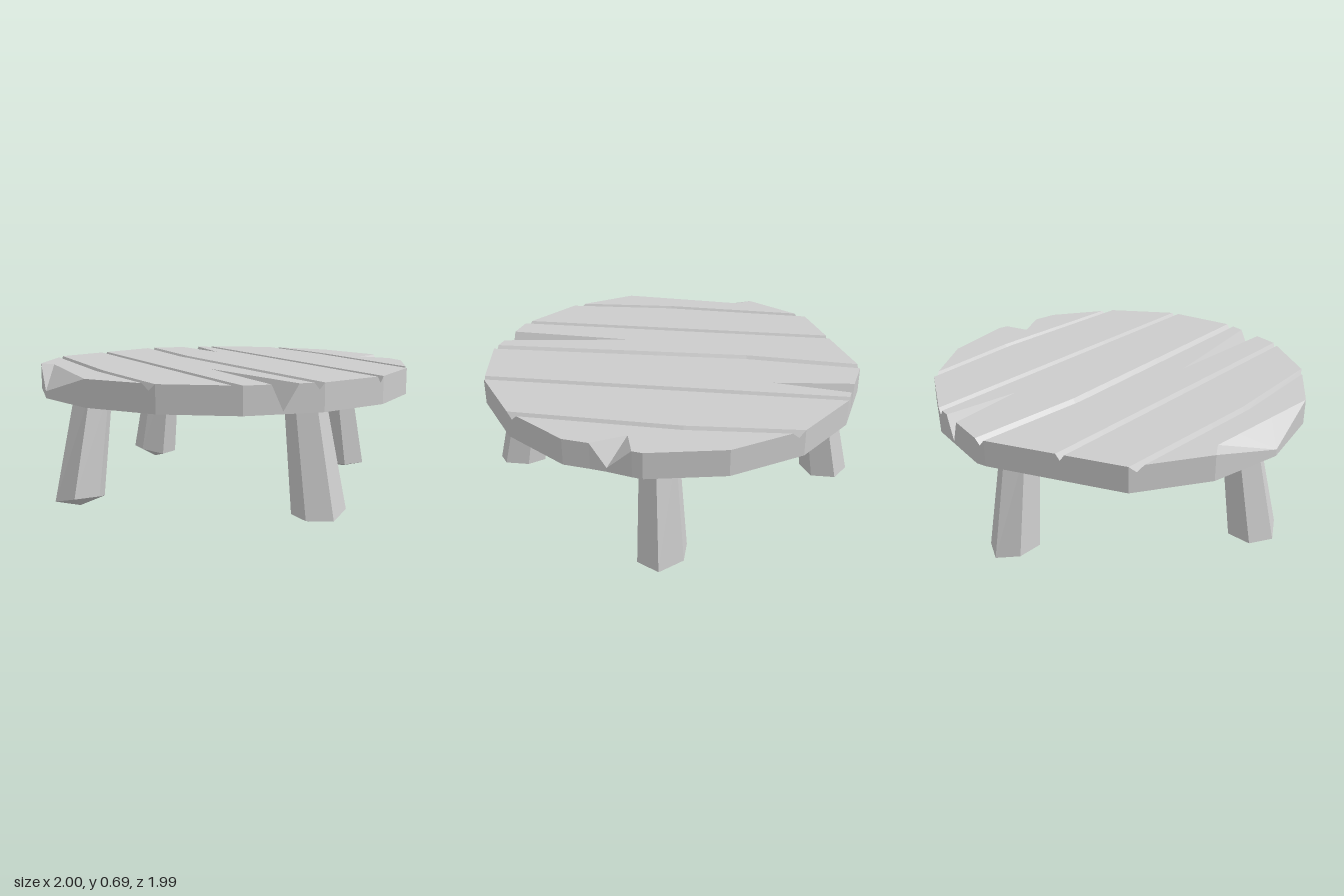
import * as THREE from 'three';

const TOP = 0.69, BOTTOM = 0.555;
const material = new THREE.MeshStandardMaterial({ color: 0xcccccc, flatShading: true });

// Rim of the table top as [x, z]
const FRONT = [[-0.92, 0.38], [-0.7, 0.7], [-0.38, 0.92], [0, 0.99], [0.38, 0.92], [0.7, 0.7], [0.92, 0.38]];
const BACK = [[-0.92, -0.38], [-0.7, -0.72], [-0.05, -0.99], [0, -1], [0.38, -0.92], [0.7, -0.71], [0.92, -0.38]];

// Linear interpolation in a list of [key, value, ...]
function sample(points, key, column = 1) {
  if (key <= points[0][0]) return points[0][column];
  for (let i = 1; i < points.length; i++) {
    const a = points[i - 1], b = points[i];
    if (key <= b[0]) return a[column] + (b[column] - a[column]) * (key - a[0]) / (b[0] - a[0]);
  }
  return points[points.length - 1][column];
}

// A line runs from back to front over the top, with control points [z, x, y]
function line(controls) {
  const pts = controls.map((c) => [...c]);
  const last = pts[pts.length - 1];
  pts[0][0] = sample(BACK, pts[0][1]);
  last[0] = sample(FRONT, last[1]);
  return pts;
}

// V groove between planks, bent towards xMid at zMid
function groove(x, xMid, zMid, width) {
  return [-0.5, 0, 0.5].map((k) => {
    const y = k === 0 ? TOP - 0.032 : TOP;
    return line([[-1, x + k * width, y], [zMid, xMid + k * width, y], [1, x + k * width, y]]);
  });
}

// Split that opens from a tip to the rim (side 1 = front, -1 = back)
function crack(xTip, zTip, xs, side) {
  return xs.map((x, i) => {
    const pts = [[-side, xTip, TOP], [zTip, xTip, TOP], [side, x, i === 1 ? BOTTOM + 0.012 : TOP]];
    return line(side > 0 ? pts : pts.reverse());
  });
}

function tableTopGeometry() {
  const lines = [
    line([[-1, -0.92, TOP], [-0.3, -0.87, TOP], [1, -0.92, TOP]]),
    ...groove(-0.72, -0.75, 0.1, 0.04),
    ...groove(-0.4, -0.4, 0, 0.04),
    ...crack(-0.22, 0.27, [-0.25, -0.195, -0.12], 1),
    ...groove(-0.025, -0.065, -0.4, 0.05),
    ...crack(0.23, -0.55, [0.19, 0.235, 0.29], -1),
    ...groove(0.36, 0.36, 0, 0.04),
    ...groove(0.72, 0.75, -0.15, 0.04),
    line([[-1, 0.92, TOP], [0.09, 0.85, TOP], [1, 0.92, TOP]]),
  ];
  const rows = [-2, -0.55, -0.4, -0.3, -0.15, 0, 0.09, 0.1, 0.27, 2];
  const grid = lines.map((l) => rows.map((r) => {
    const z = THREE.MathUtils.clamp(r, l[0][0], l[l.length - 1][0]);
    return new THREE.Vector3(sample(l, z, 1), sample(l, z, 2), z);
  }));

  const positions = [];
  const tri = (a, b, c) => {
    const area = b.clone().sub(a).cross(c.clone().sub(a)).length();
    if (area > 1e-7) for (const v of [a, b, c]) positions.push(v.x, v.y, v.z);
  };

  // Planks, grooves and cracks
  for (let i = 0; i + 1 < grid.length; i++) {
    for (let j = 0; j + 1 < rows.length; j++) {
      const a = grid[i][j], b = grid[i][j + 1], c = grid[i + 1][j + 1], d = grid[i + 1][j];
      tri(a, b, c);
      tri(a, c, d);
    }
  }

  // Worn bevel on the right edge
  const first = grid[0], last = grid[grid.length - 1], end = rows.length - 1;
  const worn = new THREE.Vector3(-1, BOTTOM + 0.035, 0);
  for (let j = 0; j < end; j++) tri(worn, first[j + 1], first[j]);

  // Chipped left edge
  const chip = [[0.94, TOP, 0.25], [0.955, BOTTOM + 0.02, 0.17], [0.985, TOP, 0.05], [0.995, TOP, 0]]
    .map((p) => new THREE.Vector3(...p));
  const edge = [last[end], ...chip, last[0]];
  const pivot = last[rows.indexOf(0.09)];
  for (let i = 0; i + 1 < edge.length; i++) tri(pivot, edge[i], edge[i + 1]);

  // Side wall and underside
  const rim = [...grid.map((g) => g[end]), ...chip, ...grid.map((g) => g[0]).reverse(), worn];
  const centre = new THREE.Vector3(0, BOTTOM, 0);
  rim.forEach((p, i) => {
    const q = rim[(i + 1) % rim.length];
    const p0 = p.clone().setY(BOTTOM), q0 = q.clone().setY(BOTTOM);
    tri(p0, q0, q);
    tri(p0, q, p);
    tri(centre, q0, p0);
  });

  const geometry = new THREE.BufferGeometry();
  geometry.setAttribute('position', new THREE.Float32BufferAttribute(positions, 3));
  geometry.computeVertexNormals();
  return geometry;
}

// Splayed six-sided leg with a shallow pointed foot
function legGeometry() {
  const geometry = new THREE.CylinderGeometry(0.1, 0.13, 1, 6, 1, false, Math.PI / 6);
  const p = geometry.attributes.position;
  for (let i = 0; i < p.count; i++) {
    const x = p.getX(i), z = p.getZ(i);
    if (p.getY(i) > 0) {
      p.setXYZ(i, x - 0.765, 0.58, z + 0.04);
    } else {
      const y = Math.hypot(x, z) < 0.01 ? 0 : z > 0.05 ? 0.065 : 0.035;
      p.setXYZ(i, x - 0.86, y, z + 0.065);
    }
  }
  geometry.computeVertexNormals();
  return geometry;
}

export function createModel() {
  const model = new THREE.Group();
  model.name = 'roundTable';

  const top = new THREE.Mesh(tableTopGeometry(), material);
  top.name = 'tableTop';
  model.add(top);

  const legShape = legGeometry();
  ['rightLeg', 'frontLeg', 'leftLeg', 'backLeg'].forEach((name, i) => {
    const leg = new THREE.Mesh(legShape, material);
    leg.name = name;
    leg.rotation.y = i * Math.PI / 2;
    model.add(leg);
  });
  return model;
}
